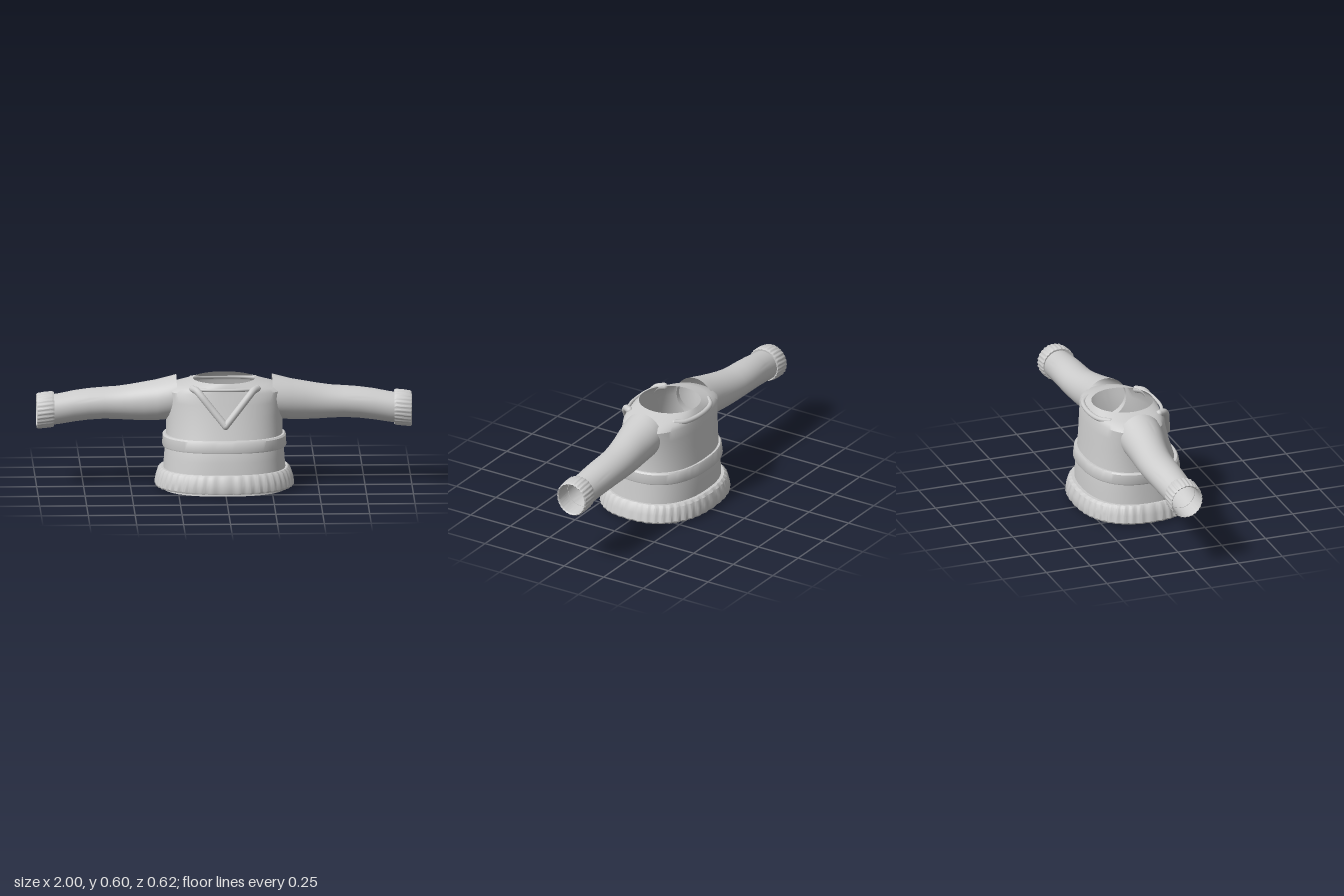
import * as THREE from 'three';
import { toCreasedNormals } from 'three/addons/utils/BufferGeometryUtils.js';

const TAU = Math.PI * 2;
const knit = new THREE.MeshStandardMaterial({ color: 0xcccccc, side: THREE.DoubleSide });
knit.name = 'light grey knit';

// Skins a list of closed rings; ringPoint(ring, angle) gives each corner
function loft(rings, segments, ringPoint, crease = 0.6) {
  const pos = [], index = [];
  for (const ring of rings) {
    for (let i = 0; i < segments; i++) pos.push(...ringPoint(ring, (i / segments) * TAU));
  }
  for (let r = 0; r < rings.length - 1; r++) {
    for (let i = 0; i < segments; i++) {
      const j = (i + 1) % segments;
      const a = r * segments + i, b = r * segments + j;
      const c = a + segments, d = b + segments;
      index.push(a, c, b, b, c, d);
    }
  }
  const g = new THREE.BufferGeometry();
  g.setAttribute('position', new THREE.Float32BufferAttribute(pos, 3));
  g.setIndex(index);
  return toCreasedNormals(g, crease);
}

const power = (v, n) => Math.sign(v) * Math.abs(v) ** (2 / n);

// Horizontal ring: [y, half width, front z, back z, roundness, ribs amplitude]
function bodyPoint([y, hx, front, back, n = 2.4, amp = 0], t) {
  const k = 1 + amp * Math.cos(t * 44);
  return [
    hx * k * power(Math.cos(t), n),
    y,
    (front + back) / 2 + ((front - back) / 2) * k * power(Math.sin(t), n),
  ];
}

// Upright ring: [x, bottom y, top y, front z, back z, ribs amplitude]
function sleevePoint([x, y0, y1, front, back, amp = 0], t) {
  const k = 1 + amp * Math.cos(t * 26);
  return [
    x,
    (y0 + y1) / 2 + ((y1 - y0) / 2) * k * Math.sin(t),
    (front + back) / 2 - ((front - back) / 2) * k * Math.cos(t),
  ];
}

function add(parent, name, geometry) {
  const mesh = new THREE.Mesh(geometry, knit);
  mesh.name = name;
  parent.add(mesh);
  return mesh;
}

// Rounded trim along a few points, with closed ends
function trim(parent, name, points, radius) {
  const group = new THREE.Group();
  group.name = name;
  const path = new THREE.CatmullRomCurve3(points.map((p) => new THREE.Vector3(...p)), false, 'centripetal');
  add(group, name + 'Roll', new THREE.TubeGeometry(path, 32, radius, 12));
  for (const p of [points[0], points[points.length - 1]]) {
    add(group, name + 'End', new THREE.SphereGeometry(radius, 12, 8)).position.set(...p);
  }
  parent.add(group);
}

export function createModel() {
  const model = new THREE.Group();
  model.name = 'sweater';

  // Open torso shell, from hem to neck opening
  add(model, 'torso', loft([
    [0, 0.333, 0.29, -0.268],
    [0.06, 0.33, 0.277, -0.266],
    [0.11, 0.325, 0.266, -0.263],
    [0.175, 0.32, 0.26, -0.262],
    [0.225, 0.316, 0.246, -0.256],
    [0.29, 0.31, 0.225, -0.248],
    [0.4, 0.31, 0.19, -0.238],
    [0.47, 0.318, 0.172, -0.231],
    [0.525, 0.325, 0.157, -0.224],
    [0.545, 0.3, 0.152, -0.219, 2.3],
    [0.56, 0.24, 0.149, -0.21, 2.2],
    [0.58, 0.165, 0.135, -0.195, 2],
  ], 96, bodyPoint));

  // Ribbed hem
  add(model, 'hemBand', loft([
    [0.016, 0.33, 0.275, -0.264],
    [0.013, 0.365, 0.306, -0.305, 2.4, 0.008],
    [0.022, 0.37, 0.309, -0.309, 2.4, 0.008],
    [0.06, 0.363, 0.303, -0.304, 2.4, 0.008],
    [0.098, 0.35, 0.291, -0.294, 2.4, 0.008],
    [0.11, 0.337, 0.278, -0.28, 2.4, 0.006],
    [0.11, 0.32, 0.262, -0.26],
  ], 264, bodyPoint));

  // Band round the waist
  add(model, 'waistBand', loft([
    [0.226, 0.312, 0.244, -0.254],
    [0.225, 0.328, 0.256, -0.268],
    [0.232, 0.331, 0.258, -0.271],
    [0.282, 0.328, 0.248, -0.264],
    [0.29, 0.32, 0.241, -0.259],
    [0.29, 0.305, 0.222, -0.245],
  ], 96, bodyPoint));

  // V-shaped collar with its top edge, and the roll behind the neck
  for (const s of [1, -1]) {
    trim(model, s > 0 ? 'leftCollar' : 'rightCollar', [
      [s * 0.172, 0.55, 0.115],
      [s * 0.15, 0.545, 0.148],
      [s * 0.128, 0.522, 0.168],
      [s * 0.065, 0.446, 0.195],
      [0, 0.368, 0.223],
    ], 0.019);
  }
  trim(model, 'collarTopEdge', [
    [-0.15, 0.55, 0.14], [-0.07, 0.551, 0.16], [0.07, 0.551, 0.16], [0.15, 0.55, 0.14],
  ], 0.009);
  trim(model, 'backCollar', [
    [-0.17, 0.552, -0.165], [-0.12, 0.548, -0.208], [0, 0.546, -0.227],
    [0.12, 0.548, -0.208], [0.17, 0.552, -0.165],
  ], 0.013);

  // Hollow sleeves with ribbed cuffs
  const sleeveRings = [
    [0.255, 0.365, 0.6, 0.09, -0.145],
    [0.3, 0.36, 0.588, 0.088, -0.147],
    [0.36, 0.354, 0.572, 0.077, -0.143],
    [0.43, 0.352, 0.558, 0.06, -0.144],
    [0.5, 0.353, 0.544, 0.047, -0.147],
    [0.57, 0.356, 0.533, 0.038, -0.15],
    [0.64, 0.358, 0.528, 0.034, -0.151],
    [0.72, 0.354, 0.522, 0.034, -0.147],
    [0.8, 0.345, 0.512, 0.034, -0.139],
    [0.88, 0.333, 0.497, 0.036, -0.129],
    [0.95, 0.325, 0.488, 0.037, -0.124],
  ];
  const cuffRings = [
    [0.908, 0.332, 0.49, 0.034, -0.124],
    [0.907, 0.322, 0.503, 0.045, -0.133, 0.015],
    [0.918, 0.318, 0.508, 0.049, -0.137, 0.02],
    [0.96, 0.313, 0.504, 0.049, -0.136, 0.02],
    [0.994, 0.311, 0.498, 0.047, -0.134, 0.02],
    [1, 0.316, 0.493, 0.042, -0.129, 0.015],
    [0.994, 0.322, 0.487, 0.037, -0.124],
    [0.93, 0.329, 0.488, 0.036, -0.124],
  ];
  for (const s of [1, -1]) {
    const side = ([x, ...rest], t) => sleevePoint([s * x, ...rest], s * t);
    const arm = new THREE.Group();
    arm.name = s > 0 ? 'leftArm' : 'rightArm';
    add(arm, 'sleeve', loft(sleeveRings, 48, side));
    add(arm, 'cuff', loft(cuffRings, 156, side));
    model.add(arm);
  }
  return model;
}
